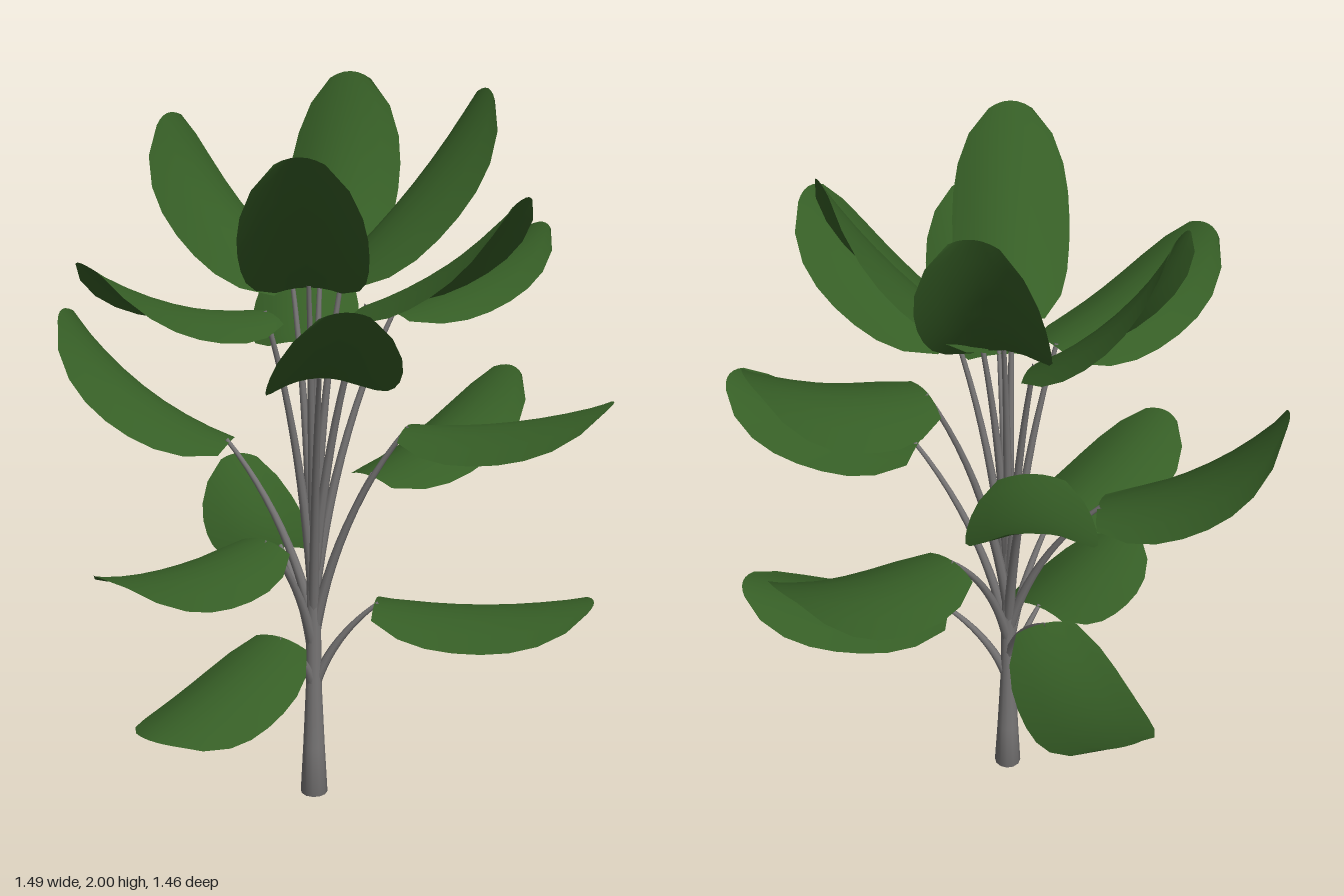
import * as THREE from 'three';

const V = (x, y, z) => new THREE.Vector3(x, y, z);
const UP = V(0, 1, 0);
const TRUNK = { x: -0.04, z: 0.02 };

// Leaf half width, sampled from base to tip
const HALF_WIDTH = [0.085, 0.13, 0.148, 0.155, 0.157, 0.154, 0.142, 0.112, 0.058];
const ACROSS = 6;

// Each plant limb: height where the stem leaves the trunk, leaf base, leaf tip, lengthwise sag, roll
const LIMBS = [
  { from: 0.33, base: [-0.12, 0.53, 0.12], tip: [-0.39, 0.46, 0.61], sag: 0.02 },
  { from: 0.33, base: [0.13, 0.6, 0.02], tip: [0.73, 0.64, 0.05], sag: 0.025 },
  { from: 0.42, base: [-0.15, 0.69, -0.14], tip: [-0.36, 0.78, -0.7], sag: 0.05 },
  { from: 0.45, base: [-0.15, 0.83, 0.16], tip: [-0.48, 0.9, 0.63], sag: 0.03 },
  { from: 0.48, base: [0.1, 0.91, -0.16], tip: [0.49, 1.13, -0.57], sag: 0.04 },
  { from: 0.52, base: [-0.28, 1.03, -0.06], tip: [-0.75, 1.38, -0.12], sag: 0.05 },
  { from: 0.5, base: [0.21, 1.13, 0.07], tip: [0.74, 1.25, 0.2], sag: 0.025 },
  { from: 0.55, base: [-0.11, 1.27, -0.25], tip: [-0.13, 1.45, -0.73], sag: 0.03 },
  { from: 0.55, base: [0.0, 1.31, 0.25], tip: [0.11, 1.6, 0.73], sag: 0.03 },
  { from: 0.6, base: [0.16, 1.4, -0.1], tip: [0.56, 1.6, -0.37], sag: 0.03, roll: -0.1 },
  { from: 0.6, base: [-0.15, 1.44, 0.09], tip: [-0.55, 1.63, 0.43], sag: 0.04 },
  { from: 0.65, base: [0.1, 1.46, 0.09], tip: [0.5, 1.78, 0.28], sag: 0.03 },
  { from: 0.65, base: [-0.1, 1.48, -0.08], tip: [-0.45, 1.91, -0.17], sag: 0.04, roll: -0.22 },
  { from: 0.7, base: [-0.04, 1.51, 0.11], tip: [-0.01, 1.91, 0.56], sag: 0.025 },
  { from: 0.7, base: [0.03, 1.52, 0.0], tip: [0.4, 1.99, -0.12], sag: 0.025, roll: 0.14 },
  { from: 0.75, base: [-0.03, 1.51, -0.06], tip: [0.02, 2.0, -0.41], sag: 0.04 },
];

// Broad leaf: arched across its width and sagging along its length
function leafGeometry(base, tip, sag, roll) {
  const dir = tip.clone().sub(base);
  const length = dir.length();
  dir.normalize();
  const side = dir.clone().cross(UP).normalize().applyAxisAngle(dir, roll);
  const normal = side.clone().cross(dir);
  const rows = HALF_WIDTH.length - 1;
  const pos = [], index = [];
  for (let i = 0; i <= rows; i++) {
    const t = i / rows;
    for (let j = 0; j <= ACROSS; j++) {
      const s = (j / ACROSS) * 2 - 1;
      const w = HALF_WIDTH[i] * s;
      const lift = -sag * 4 * t * (1 - t) - 2.4 * w * w;
      const p = base.clone()
        .addScaledVector(dir, length * (t - (t > 0.9 ? 0.03 * s * s : 0)))
        .addScaledVector(side, w)
        .addScaledVector(normal, lift);
      pos.push(p.x, p.y, p.z);
      if (i < rows && j < ACROSS) {
        const a = i * (ACROSS + 1) + j, b = a + ACROSS + 1;
        index.push(a, a + 1, b, a + 1, b + 1, b);
      }
    }
  }
  const g = new THREE.BufferGeometry();
  g.setAttribute('position', new THREE.Float32BufferAttribute(pos, 3));
  g.setIndex(index);
  g.computeVertexNormals();
  return g;
}

// Curved stem that thins from r0 at the trunk to r1 at the leaf
function stemGeometry(start, end, r0, r1) {
  const control = V(
    THREE.MathUtils.lerp(start.x, end.x, 0.27),
    THREE.MathUtils.lerp(start.y, end.y, 0.6),
    THREE.MathUtils.lerp(start.z, end.z, 0.27));
  const curve = new THREE.QuadraticBezierCurve3(start, control, end);
  const segments = 12, sides = 8;
  const g = new THREE.TubeGeometry(curve, segments, r0, sides);
  const p = g.attributes.position, v = V(0, 0, 0);
  for (let i = 0; i < p.count; i++) {
    const t = Math.floor(i / (sides + 1)) / segments;
    const c = curve.getPointAt(t);
    v.fromBufferAttribute(p, i).sub(c).multiplyScalar(1 + (r1 / r0 - 1) * t).add(c);
    p.setXYZ(i, v.x, v.y, v.z);
  }
  return g;
}

export function createModel() {
  const model = new THREE.Group();
  model.name = 'plant';
  const bark = new THREE.MeshStandardMaterial({ color: 0x777575 });
  const green = new THREE.MeshStandardMaterial({ color: 0x365e26, side: THREE.DoubleSide });

  const add = (parent, name, geometry, material) => {
    const mesh = new THREE.Mesh(geometry, material);
    mesh.name = name;
    parent.add(mesh);
    return mesh;
  };

  // Trunk, flared at the foot and tapering up between the stems
  const profile = [[0, 0], [0.039, 0], [0.031, 0.15], [0.023, 0.33], [0.021, 0.5], [0.018, 0.8], [0.01, 1.1], [0, 1.2]]
    .map(([r, y]) => new THREE.Vector2(r, y));
  add(model, 'trunk', new THREE.LatheGeometry(profile, 12), bark).position.set(TRUNK.x, 0, TRUNK.z);

  // Stems with their leaves
  for (const { from, base, tip, sag, roll = 0 } of LIMBS) {
    const limb = new THREE.Group();
    limb.name = 'limb';
    const b = V(...base), t = V(...tip);
    add(limb, 'stem', stemGeometry(V(TRUNK.x, from, TRUNK.z), b.clone().lerp(t, 0.02), 0.016, 0.006), bark);
    add(limb, 'leaf', leafGeometry(b, t, sag, roll), green);
    model.add(limb);
  }
  return model;
}
